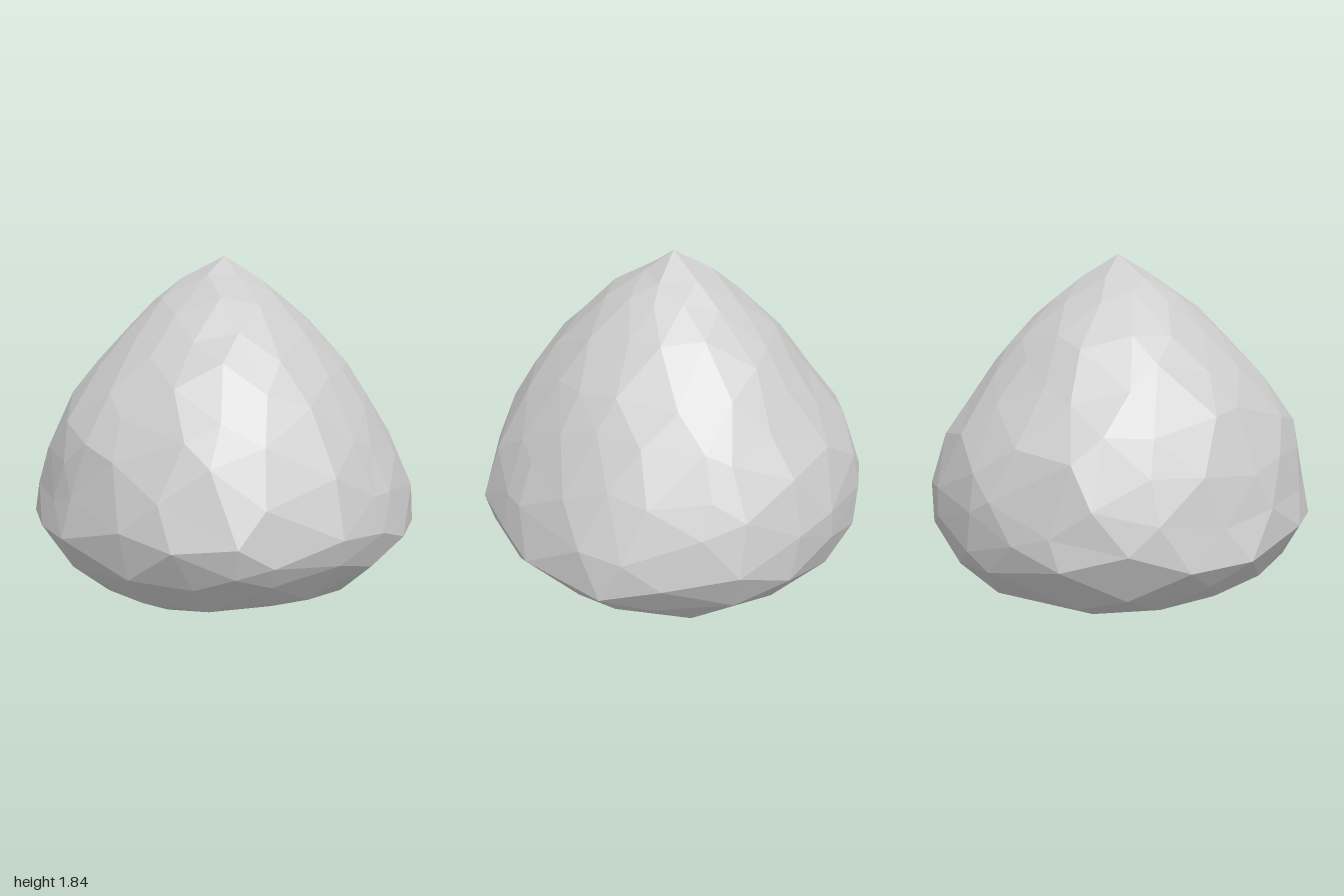
import * as THREE from 'three';
import { mergeVertices } from 'three/addons/utils/BufferGeometryUtils.js';

// Profile from peak to base: height, then the reach in eight directions,
// turning from +x through +z, -x and -z in steps of 45 degrees
const PROFILE = [
  [1.84, 0, 0, 0, 0, 0, 0, 0, 0],
  [1.76, 0.14, 0.12, 0.10, 0.14, 0.16, 0.16, 0.16, 0.15],
  [1.68, 0.25, 0.27, 0.29, 0.28, 0.28, 0.26, 0.25, 0.25],
  [1.54, 0.41, 0.42, 0.43, 0.43, 0.43, 0.43, 0.45, 0.43],
  [1.38, 0.59, 0.58, 0.60, 0.59, 0.58, 0.57, 0.58, 0.59],
  [1.20, 0.71, 0.72, 0.75, 0.75, 0.73, 0.71, 0.70, 0.71],
  [1.00, 0.82, 0.83, 0.87, 0.88, 0.87, 0.87, 0.88, 0.85],
  [0.80, 0.92, 0.93, 0.95, 0.94, 0.92, 0.94, 0.95, 0.94],
  [0.60, 0.99, 0.98, 0.99, 0.97, 0.97, 0.97, 0.98, 0.98],
  [0.45, 1.00, 0.97, 0.95, 0.97, 1.00, 0.97, 0.95, 0.97],
  [0.29, 0.83, 0.83, 0.84, 0.83, 0.81, 0.87, 0.85, 0.83],
  [0.16, 0.69, 0.66, 0.68, 0.66, 0.61, 0.70, 0.72, 0.69],
  [0.08, 0.36, 0.38, 0.46, 0.42, 0.34, 0.39, 0.41, 0.38],
  [0, 0, 0, 0, 0, 0, 0, 0, 0],
];

function seeded(seed) {
  return () => {
    seed = (seed * 16807) % 2147483647;
    return seed / 2147483647;
  };
}

// Height and reach on the profile, t running from peak (0) to base (1)
function surfaceAt(t, angle) {
  const f = THREE.MathUtils.clamp(t, 0, 1) * (PROFILE.length - 1);
  const i = Math.min(Math.floor(f), PROFILE.length - 2);
  const row = PROFILE[i].map((v, k) => THREE.MathUtils.lerp(v, PROFILE[i + 1][k], f - i));
  const turn = (angle / (Math.PI / 4) + 16) % 8;
  const a = Math.floor(turn);
  return [row[0], THREE.MathUtils.lerp(row[1 + a], row[1 + (a + 1) % 8], turn - a)];
}

// Faceted ball pulled onto the profile, with small random chips
function boulderGeometry() {
  const ball = new THREE.IcosahedronGeometry(1, 3);
  ball.deleteAttribute('normal');
  ball.deleteAttribute('uv');
  const geo = mergeVertices(ball, 1e-3);
  const pos = geo.attributes.position;
  const random = seeded(4127);
  const jitter = (size) => (random() * 2 - 1) * size;

  for (let i = 0; i < pos.count; i++) {
    const polar = Math.acos(THREE.MathUtils.clamp(pos.getY(i), -1, 1)) / Math.PI;
    // The peak and the lowest point sit slightly off centre
    if (polar < 0.01) {
      pos.setXYZ(i, 0.01, 1.84, 0);
    } else if (polar > 0.99) {
      pos.setXYZ(i, 0.05, 0, -0.03);
    } else {
      const angle = Math.atan2(pos.getZ(i), pos.getX(i)) + jitter(0.08);
      const [y, reach] = surfaceAt(polar + jitter(0.02), angle);
      const r = reach * (1.012 + jitter(0.015));
      pos.setXYZ(i, Math.cos(angle) * r, y, Math.sin(angle) * r);
    }
  }

  const faceted = geo.toNonIndexed();
  faceted.computeVertexNormals();
  return faceted;
}

export function createModel() {
  const model = new THREE.Group();
  model.name = 'rock';
  const stone = new THREE.MeshStandardMaterial({ color: 0xcccccc, flatShading: true });
  const boulder = new THREE.Mesh(boulderGeometry(), stone);
  boulder.name = 'boulder';
  model.add(boulder);
  return model;
}
